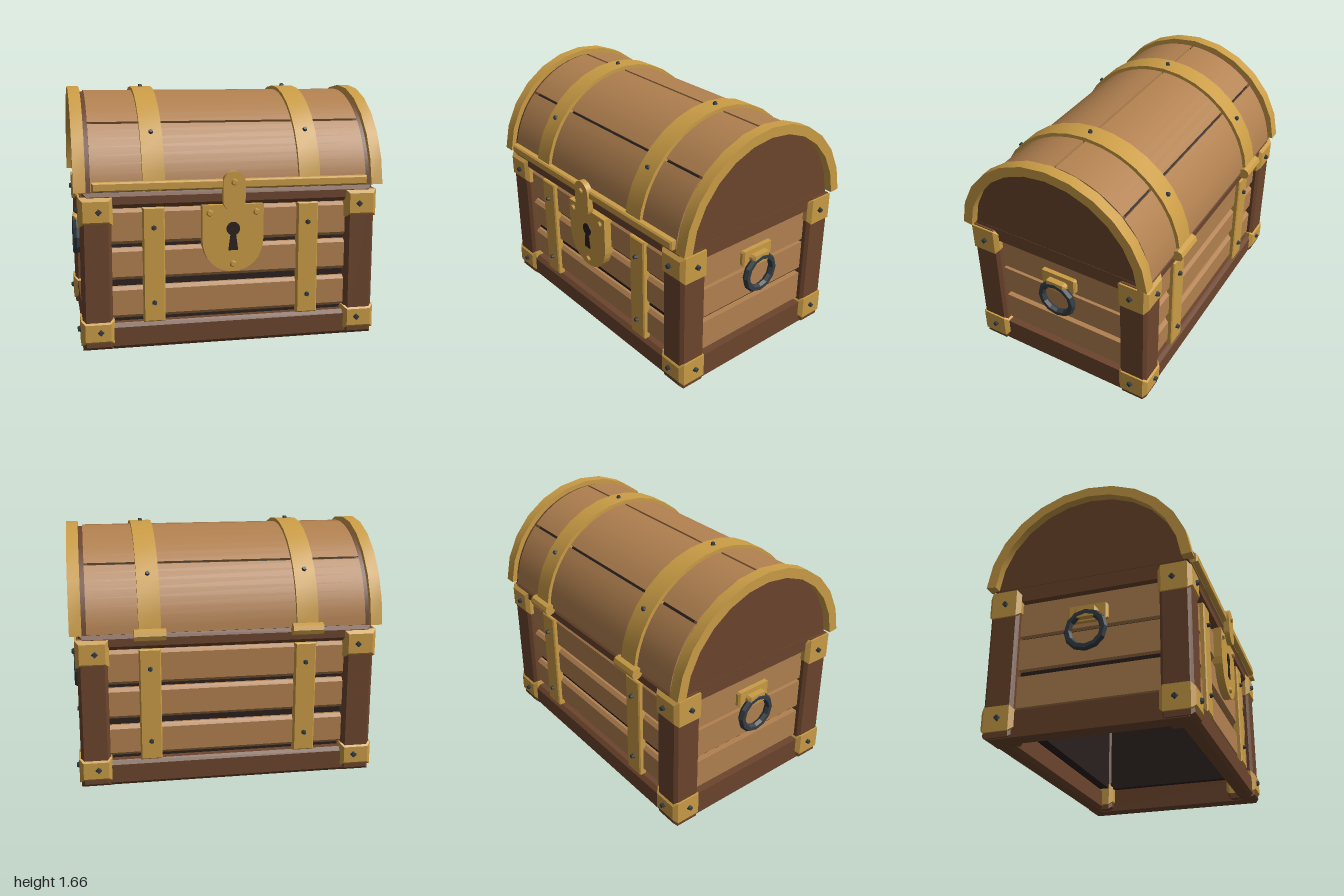
import * as THREE from 'three';
import { toCreasedNormals } from 'three/addons/utils/BufferGeometryUtils.js';

const mat = (name, color) => {
  const m = new THREE.MeshStandardMaterial({ color });
  m.name = name;
  return m;
};

export function createModel() {
  const root = new THREE.Group();
  root.name = 'treasureChest';
  const wood = mat('light wood', 0xb28150);
  const brown = mat('dark wood', 0x6c452d);
  const gold = mat('brass', 0xcb9d46);
  const iron = mat('iron', 0x353d43);
  const dark = mat('shadow brown', 0x2a201e);

  const add = (name, geo, material, x = 0, y = 0, z = 0) => {
    const m = new THREE.Mesh(geo, material);
    m.name = name;
    m.position.set(x, y, z);
    root.add(m);
    return m;
  };

  // Chamfered box given by its minimum and maximum corners
  const block = (name, material, x0, x1, y0, y1, z0, z1, b = 0.015) => {
    const w = (x1 - x0) / 2 - b, h = (y1 - y0) / 2 - b, d = z1 - z0 - 2 * b;
    const s = new THREE.Shape([[-w, -h], [w, -h], [w, h], [-w, h]].map(p => new THREE.Vector2(...p)));
    const g = new THREE.ExtrudeGeometry(s, { depth: d, bevelSize: b, bevelThickness: b, bevelSegments: 1 });
    g.translate(0, 0, -d / 2);
    return add(name, g, material, (x0 + x1) / 2, (y0 + y1) / 2, (z0 + z1) / 2);
  };
  const box = (name, material, x0, x1, y0, y1, z0, z1) =>
    add(name, new THREE.BoxGeometry(x1 - x0, y1 - y0, z1 - z0), material,
      (x0 + x1) / 2, (y0 + y1) / 2, (z0 + z1) / 2);

  // Domed stud pointing along a direction
  const stud = (name, material, pos, dir, r, sides, h = 0.03) => {
    const m = add(name, new THREE.CylinderGeometry(r * 0.6, r, h, sides), material, ...pos);
    m.quaternion.setFromUnitVectors(new THREE.Vector3(0, 1, 0), new THREE.Vector3(...dir).normalize());
    return m;
  };

  // ---- Body: hollow lining, rails, planks, posts ----
  for (const s of [-1, 1]) {
    const zs = (a, b) => (s > 0 ? [a, b] : [-b, -a]);
    box('liningLong', dark, -0.875, 0.875, 0.165, 0.99, ...zs(0.48, 0.575));
    box('liningShort', dark, ...zs(0.785, 0.875), 0.165, 0.99, -0.575, 0.575);
    for (const [y0, y1, n] of [[0, 0.17, 'bottomRail'], [0.91, 1.01, 'topRail']]) {
      block(n, brown, -0.945, 0.945, y0, y1, ...zs(0.53, 0.645), 0.025);
      block(n, brown, ...zs(0.83, 0.945), y0, y1, -0.64, 0.64, 0.025);
    }
    for (const [y0, y1] of [[0.195, 0.4], [0.445, 0.65], [0.675, 0.9]]) {
      block('longPlank', wood, -0.8, 0.8, y0, y1, ...zs(0.55, 0.615), 0.022);
      block('shortPlank', wood, ...zs(0.85, 0.915), y0, y1, -0.5, 0.5, 0.022);
    }
    // Vertical straps with studs, front and back
    for (const x of [-0.505, 0.505]) {
      block('bodyStrap', gold, x - 0.07, x + 0.07, 0.17, 0.91, ...zs(0.59, 0.645), 0.008);
      for (const y of [0.295, 0.78]) stud('strapStud', iron, [x, y, s * 0.65], [0, 0, s], 0.02, 6);
    }
    // Corner posts, brackets and bracket studs
    for (const t of [-1, 1]) {
      const xs = (a, b) => (t > 0 ? [a, b] : [-b, -a]);
      block('cornerPost', brown, ...xs(0.77, 0.96), 0.005, 0.99, ...zs(0.46, 0.655), 0.02);
      for (const [y0, y1, y] of [[0.04, 0.2, 0.123], [0.805, 0.985, 0.893]]) {
        block('cornerBracket', gold, ...xs(0.76, 0.972), y0, y1, ...zs(0.45, 0.666), 0.025);
        stud('bracketStud', iron, [t * 0.85, y, s * 0.67], [0, 0, s], 0.026, 4);
        stud('bracketStud', iron, [t * 0.975, y, s * 0.548], [t, 0, 0], 0.026, 4);
      }
    }
  }

  // ---- Side handles ----
  for (const s of [-1, 1]) {
    const xs = (a, b) => (s > 0 ? [a, b] : [-b, -a]);
    block('handlePlate', gold, ...xs(0.89, 0.945), 0.7, 0.81, -0.13, 0.13, 0.012);
    block('handleLoop', gold, ...xs(0.92, 0.985), 0.71, 0.775, -0.075, 0.075, 0.015);
    const ring = add('handleRing', toCreasedNormals(new THREE.TorusGeometry(0.117, 0.025, 6, 12), 0.3),
      iron, s * 0.966, 0.628, 0);
    ring.rotation.y = Math.PI / 2;
  }

  // ---- Lid: arcs around an axis along x ----
  const CY = 0.965, DEG = Math.PI / 180;
  const arcPoints = (r, a0, a1, n) => Array.from({ length: n + 1 }, (_, i) => {
    const a = (a0 + (a1 - a0) * i / n) * DEG;
    return new THREE.Vector2(r * Math.cos(a), CY + r * Math.sin(a));
  });
  const sweep = (name, material, pts, x0, x1) => {
    const g = new THREE.ExtrudeGeometry(new THREE.Shape(pts), { depth: x1 - x0, bevelEnabled: false });
    g.rotateY(Math.PI / 2);
    return add(name, toCreasedNormals(g, 0.5), material, x0);
  };
  const band = (name, material, r0, r1, a0, a1, n, x0, x1) =>
    sweep(name, material, [...arcPoints(r1, a0, a1, n), ...arcPoints(r0, a1, a0, n)], x0, x1);

  sweep('lidCore', dark, arcPoints(0.635, 4.2, 175.8, 24), -0.885, 0.885);
  const gaps = [4.6, 45, 90, 135, 175.4];
  for (let i = 0; i < 4; i++) {
    band('lidPlank', wood, 0.61, 0.655, gaps[i] + (i ? 0.75 : 0), gaps[i + 1] - (i < 3 ? 0.75 : 0), 8, -0.895, 0.895);
  }
  for (const s of [-1, 1]) {
    const xs = (a, b) => (s > 0 ? [a, b] : [-b, -a]);
    sweep('lidEndPanel', brown, arcPoints(0.645, 4.2, 175.8, 24), ...xs(0.87, 0.945));
    band('lidRim', gold, 0.617, 0.682, 4.6, 175.4, 12, ...xs(0.924, 1));
    // Lid straps, studs and hinges
    const x = s * 0.505;
    band('lidStrap', gold, 0.63, 0.68, 4.6, 175.4, 16, x - 0.07, x + 0.07);
    for (const a of [37, 90, 143]) {
      const c = Math.cos(a * DEG), d = Math.sin(a * DEG);
      stud('lidStud', iron, [x, CY + 0.68 * d, 0.68 * c], [0, d, c], 0.02, 6);
    }
    const hinge = add('hinge', new THREE.CylinderGeometry(0.04, 0.04, 0.2, 8), gold, x, 1.01, -0.673);
    hinge.geometry = toCreasedNormals(hinge.geometry, 0.3);
    hinge.rotation.z = Math.PI / 2;
  }
  block('lidFrontTrim', gold, -0.89, 0.89, 1.02, 1.08, 0.63, 0.688, 0.01);

  // ---- Lock ----
  const plate = new THREE.Shape();
  plate.moveTo(-0.2, 0.915);
  plate.lineTo(-0.2, 0.7);
  plate.bezierCurveTo(-0.2, 0.56, -0.11, 0.482, 0, 0.482);
  plate.bezierCurveTo(0.11, 0.482, 0.2, 0.56, 0.2, 0.7);
  plate.lineTo(0.2, 0.915);
  add('lockPlate', new THREE.ExtrudeGeometry(plate, { depth: 0.07, bevelEnabled: false, curveSegments: 8 }),
    gold, 0, 0, 0.598);

  const key = new THREE.Shape();
  key.absarc(0, 0.76, 0.044, -65 * DEG, 245 * DEG, false);
  key.lineTo(-0.032, 0.62);
  key.lineTo(0.032, 0.62);
  add('keyhole', new THREE.ExtrudeGeometry(key, { depth: 0.006, bevelEnabled: false, curveSegments: 12 }),
    dark, 0, 0, 0.666);

  const hasp = new THREE.Shape();
  hasp.absarc(0, 1.06, 0.072, 0, Math.PI, false);
  hasp.absarc(0, 0.947, 0.072, Math.PI, 2 * Math.PI, false);
  add('hasp', new THREE.ExtrudeGeometry(hasp, { depth: 0.04, bevelEnabled: false, curveSegments: 10 }),
    gold, 0, 0, 0.662);
  for (const [x, y, z] of [[-0.152, 0.865, 0.672], [0.152, 0.865, 0.672], [0, 0.53, 0.672], [0, 1.063, 0.704]]) {
    stud('lockBolt', gold, [x, y, z], [0, 0, 1], 0.027, 6, 0.022);
  }

  return root;
}
